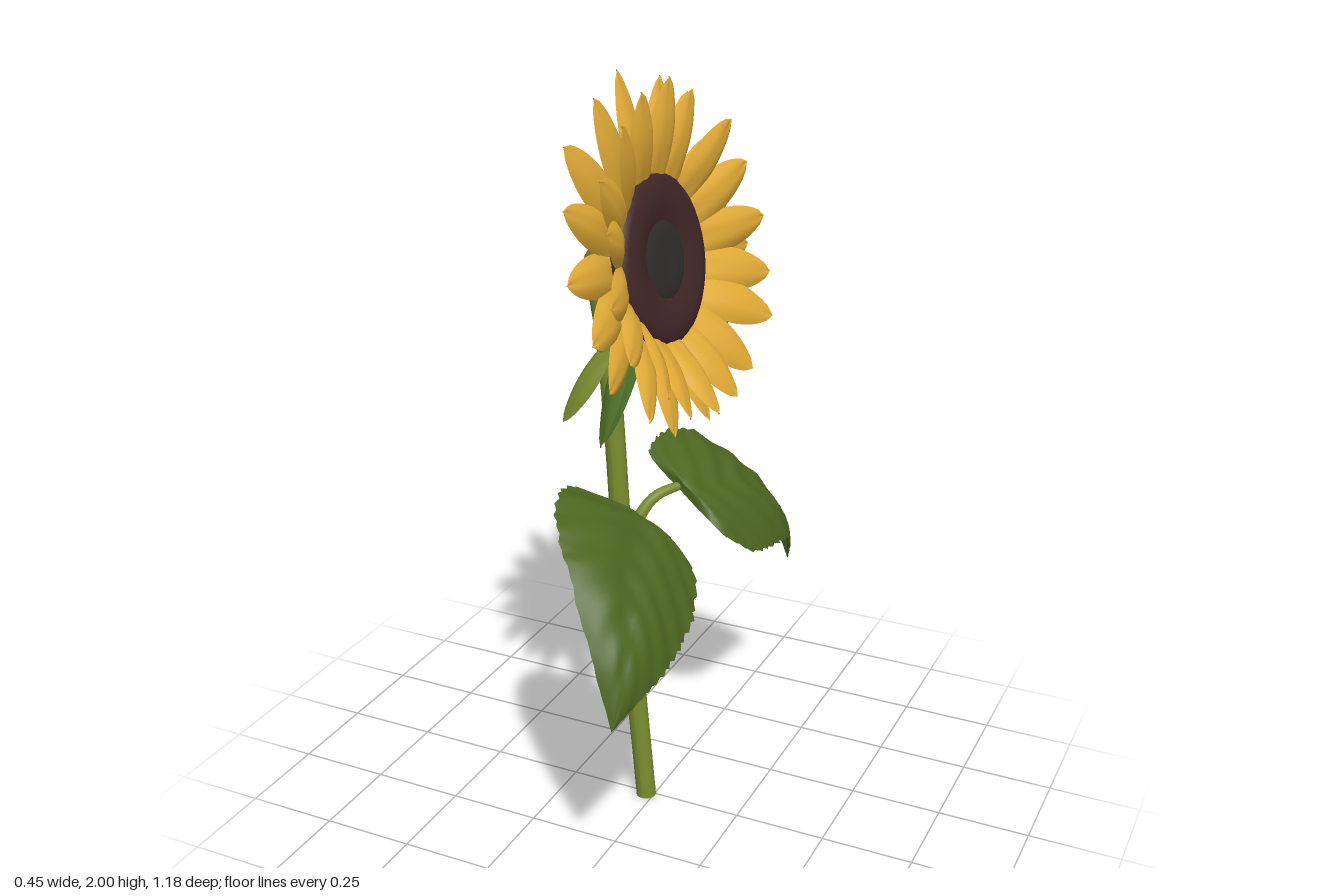
import * as THREE from 'three';

const mat = (name, color, side = THREE.FrontSide) => {
  const m = new THREE.MeshStandardMaterial({ color, side });
  m.name = name;
  return m;
};
const V = (x, y, z) => new THREE.Vector3(x, y, z);

// Smooth grid surface from a rule point(u in -1..1, t in 0..1)
function surface(cols, rows, point) {
  const pos = [], idx = [];
  for (let i = 0; i <= rows; i++)
    for (let j = 0; j <= cols; j++) {
      const p = point((2 * j) / cols - 1, i / rows, i);
      pos.push(p.x, p.y, p.z);
    }
  for (let i = 0; i < rows; i++)
    for (let j = 0; j < cols; j++) {
      const a = i * (cols + 1) + j, b = a + cols + 1;
      idx.push(a, a + 1, b, a + 1, b + 1, b);
    }
  const g = new THREE.BufferGeometry();
  g.setAttribute('position', new THREE.Float32BufferAttribute(pos, 3));
  g.setIndex(idx);
  g.computeVertexNormals();
  return g;
}

// Pointed blade along +y, facing +z: used for petals and sepals
function blade(length, width, bulge, curl) {
  return surface(8, 14, (u, t) => {
    const w = (width / 2) * Math.pow(Math.max(0, Math.sin(Math.PI * (0.14 + 0.86 * t))), 0.62);
    const z = bulge * (1 - u * u) * Math.sin(Math.PI * t)
      - 0.15 * bulge * Math.exp(-u * u * 14) + curl * t * t;
    return V(u * w, t * length, z);
  });
}

// Tube whose radius follows a rule of t
function taperedTube(points, radius, segments, sides) {
  const curve = new THREE.CatmullRomCurve3(points);
  const g = new THREE.TubeGeometry(curve, segments, 1, sides);
  const p = g.attributes.position, v = V(0, 0, 0);
  for (let i = 0; i < p.count; i++) {
    const t = Math.floor(i / (sides + 1)) / segments;
    const c = curve.getPointAt(t);
    v.fromBufferAttribute(p, i).sub(c).multiplyScalar(radius(t)).add(c);
    p.setXYZ(i, v.x, v.y, v.z);
  }
  g.computeVertexNormals();
  return g;
}

// Broad toothed leaf stretched between two edge curves
function leafGeometry(upper, lower) {
  const a = new THREE.CatmullRomCurve3(upper), b = new THREE.CatmullRomCurve3(lower);
  const out = V(0.68, 0.7, 0).normalize();
  return surface(16, 60, (u, t, i) => {
    const tooth = Math.abs(u) === 1 ? 1 + 0.04 * ((i % 3) / 2 - 0.5) : 1;
    const p = a.getPoint(t).lerp(b.getPoint(t), (u * tooth + 1) / 2);
    const s = Math.sin(Math.PI * t);
    const lift = 0.05 * Math.pow(Math.max(0, s), 0.6) * (1 - u * u)
      + s * (0.004 * Math.sin(2 * Math.PI * (t * 7 - Math.abs(u) * 1.5)) - 0.01 * Math.exp(-u * u * 30));
    return p.addScaledVector(out, lift);
  });
}

export function createModel() {
  const root = new THREE.Group();
  root.name = 'sunflower';
  const yellow = mat('petal yellow', 0xe1aa36, THREE.DoubleSide);
  const brown = mat('seed brown', 0x412627);
  const dark = mat('seed centre grey', 0x2f2d2c);
  const stemGreen = mat('stem green', 0x788a2c, THREE.DoubleSide);
  const leafGreen = mat('leaf green', 0x4b651f, THREE.DoubleSide);
  const sepalGreen = mat('sepal green', 0x4d6f24, THREE.DoubleSide);
  const add = (parent, name, geo, material) => {
    const m = new THREE.Mesh(geo, material);
    m.name = name;
    parent.add(m);
    return m;
  };
  let seed = 7;
  const jitter = () => {
    seed = (seed * 16807) % 2147483647;
    return (seed / 2147483647) * 2 - 1;
  };

  // Stem, bent sharply under the flower
  const stemPath = [
    V(-0.02, 0.005, 0.013), V(-0.06, 0.4, 0.006), V(-0.095, 0.76, 0), V(-0.125, 1.15, -0.01),
    V(-0.153, 1.45, -0.014), V(-0.16, 1.53, -0.015), V(-0.154, 1.55, -0.015),
    V(-0.135, 1.556, -0.015), V(0, 1.556, -0.012),
  ];
  const stemRadius = (t) => 0.027 + 0.006 * Math.exp(-Math.pow((t - 0.44) / 0.03, 2))
    + 0.012 * THREE.MathUtils.smoothstep(t, 0.76, 0.9);
  add(root, 'stem', taperedTube(stemPath, stemRadius, 90, 18), stemGreen);
  const foot = add(root, 'stemFoot', new THREE.CircleGeometry(0.027, 18), stemGreen);
  foot.rotation.x = Math.PI / 2;
  foot.position.copy(stemPath[0]);

  // Leaves and their stalks, one on each side
  const leaves = [
    {
      name: 'frontLeaf', side: 1,
      upper: [V(0, 0.92, 0.14), V(-0.1, 0.985, 0.178), V(-0.12, 1.03, 0.28), V(-0.08, 1.0, 0.39),
        V(0, 0.92, 0.48), V(0.1, 0.75, 0.56), V(0.165, 0.58, 0.588)],
      lower: [V(0, 0.92, 0.14), V(0.15, 0.81, 0.11), V(0.205, 0.73, 0.2), V(0.22, 0.69, 0.31),
        V(0.22, 0.66, 0.41), V(0.2, 0.63, 0.5), V(0.165, 0.58, 0.588)],
    },
    {
      name: 'backLeaf', side: -1,
      upper: [V(0, 0.89, -0.14), V(-0.1, 0.955, -0.18), V(-0.1, 0.985, -0.26), V(-0.07, 0.965, -0.36),
        V(0, 0.87, -0.46), V(0.09, 0.7, -0.555), V(0.155, 0.51, -0.588)],
      lower: [V(0, 0.89, -0.14), V(0.15, 0.8, -0.1), V(0.205, 0.72, -0.19), V(0.22, 0.69, -0.31),
        V(0.215, 0.66, -0.42), V(0.19, 0.59, -0.51), V(0.155, 0.51, -0.588)],
    },
  ];
  for (const { name, side, upper, lower } of leaves) {
    add(root, name, leafGeometry(upper, lower), leafGreen);
    const stalk = [V(-0.095, 0.74, 0), V(-0.075, 0.81, 0.04 * side), V(-0.04, 0.875, 0.085 * side),
      upper[0].clone().add(V(0.025, 0.005, 0.04 * side))];
    add(root, name + 'Stalk', taperedTube(stalk, (t) => 0.02 - 0.009 * t, 16, 10), stemGreen);
  }

  // Flower head, facing +x and tilted upward
  const head = new THREE.Group();
  head.name = 'flowerHead';
  head.position.set(0.006, 1.555, 0);
  head.rotation.set(0, Math.PI / 2, 0.2, 'ZYX');
  head.scale.set(1, 0.93, 1);
  root.add(head);

  const lathe = (pts) => new THREE.LatheGeometry(pts.map((p) => new THREE.Vector2(...p)), 48).rotateX(Math.PI / 2);
  add(head, 'seedRing', lathe([[0, -0.03], [0.17, -0.03], [0.205, -0.022], [0.232, 0], [0.228, 0.022],
    [0.205, 0.034], [0.17, 0.039], [0.13, 0.033], [0.1, 0.023]]), brown);
  add(head, 'seedCentre', lathe([[0.105, 0.023], [0.085, 0.03], [0.05, 0.031], [0, 0.029]]), dark);

  // Petals in two staggered rings, shorter and more lifted toward the bottom
  const rings = [
    { count: 18, r: 0.185, z: -0.015, length: 0.293, lift: 0.13, curl: 0.0 },
    { count: 18, r: 0.195, z: 0.012, length: 0.262, lift: 0.34, curl: 0.008 },
  ];
  rings.forEach(({ count, r, z, length, lift, curl }, k) => {
    for (let i = 0; i < count; i++) {
      const a = ((i + k * 0.5 + jitter() * 0.1) / count) * Math.PI * 2;
      const up = Math.cos(a);
      const long = length * (1 + 0.05 * up + 0.03 * jitter());
      const petal = add(head, k ? 'innerPetal' : 'outerPetal',
        blade(long, 0.118 + 0.008 * jitter(), 0.022, curl), yellow);
      petal.position.set(-Math.sin(a) * r, up * r, z);
      petal.rotation.set(lift - 0.11 * up + 0.07 * jitter(), 0.12 * jitter(), a, 'ZXY');
    }
  });

  // Sepals hanging behind the head: base, tip, width, material; the last is a bract on the stem
  const sepals = [
    [V(0.01, 1.42, -0.09), V(-0.055, 1.12, -0.17), 0.09, sepalGreen],
    [V(0.01, 1.43, -0.15), V(0.0, 1.17, -0.26), 0.09, sepalGreen],
    [V(0.01, 1.45, -0.19), V(0.03, 1.24, -0.39), 0.08, sepalGreen],
    [V(0.01, 1.42, 0.09), V(-0.05, 1.13, 0.19), 0.09, sepalGreen],
    [V(0.01, 1.43, 0.16), V(0.0, 1.17, 0.305), 0.085, sepalGreen],
    [V(-0.125, 1.31, 0.01), V(-0.22, 1.12, 0.085), 0.075, stemGreen],
  ];
  for (const [base, tip, width, material] of sepals) {
    const y = tip.clone().sub(base);
    const sepal = add(root, 'sepal', blade(y.length(), width, 0.018, 0), material);
    y.normalize();
    const x = y.clone().cross(V(-0.6, 0, Math.sign(tip.z))).normalize();
    sepal.quaternion.setFromRotationMatrix(new THREE.Matrix4().makeBasis(x, y, x.clone().cross(y)));
    sepal.position.copy(base);
  }
  return root;
}
